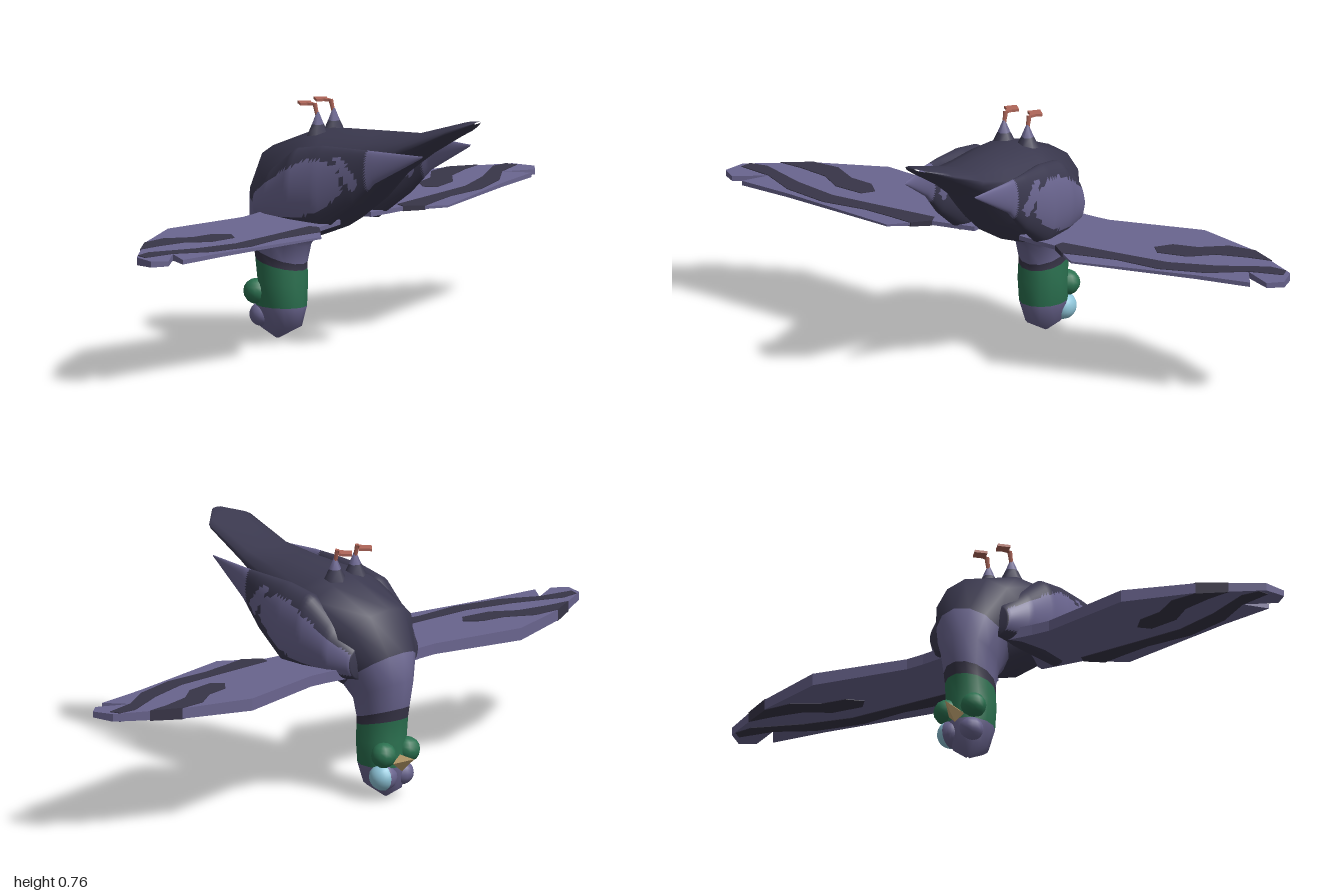
import * as THREE from 'three';

const mat = (name, color) => Object.assign(new THREE.MeshStandardMaterial({ color }), { name });
const dark = mat('dark plumage', 0x3b394f);
const lavender = mat('lavender plumage', 0x6a658f);
const stripe = mat('wing stripe', 0x383548);
const green = mat('green neck', 0x2b7150);
const tan = mat('beak tan', 0xc4a673);
const blue = mat('pale blue eye', 0x8fc6da);
const red = mat('leg red', 0xb0675a);

function mesh(name, geo, material, x = 0, y = 0, z = 0) {
  const m = new THREE.Mesh(geo, material);
  m.name = name;
  m.position.set(x, y, z);
  return m;
}

// Elliptical rings [zA, yA, zB, yB, halfWidth, xCentre], skinned into one smooth surface;
// pick(z, y, ring) gives the material slot of each face.
function loft(rings, n, slots, pick) {
  const pos = [], buckets = Array.from({ length: slots }, () => []);
  for (const [za, ya, zb, yb, w, xc = 0] of rings) {
    for (let j = 0; j < n; j++) {
      const t = (j / n) * Math.PI * 2, c = Math.cos(t) / 2;
      pos.push(xc + w * Math.sin(t), (ya + yb) / 2 + c * (ya - yb), (za + zb) / 2 + c * (za - zb));
    }
  }
  const add = (i, a, b, c) => {
    const mid = k => (pos[a * 3 + k] + pos[b * 3 + k] + pos[c * 3 + k]) / 3;
    buckets[pick(mid(2), mid(1), i)].push(a, b, c);
  };
  for (let i = 0; i < rings.length - 1; i++) {
    for (let j = 0; j < n; j++) {
      const k = (j + 1) % n, a = i * n + j, b = i * n + k;
      add(i, a, b, a + n);
      add(i, b, b + n, a + n);
    }
  }
  const geo = new THREE.BufferGeometry();
  geo.setAttribute('position', new THREE.Float32BufferAttribute(pos, 3));
  geo.setIndex(buckets.flat());
  let start = 0;
  buckets.forEach((b, s) => { geo.addGroup(start, b.length, s); start += b.length; });
  geo.computeVertexNormals();
  return geo;
}

// Insert evenly spaced rings between the given ones
function subdivide(rings, steps) {
  const out = [];
  for (let i = 0; i < rings.length - 1; i++)
    for (let s = 0; s < steps; s++)
      out.push(rings[i].map((v, k) => v + (rings[i + 1][k] - v) * s / steps));
  out.push(rings[rings.length - 1]);
  return out;
}

function inside(poly, x, y) {
  let hit = false;
  for (let i = 0, j = poly.length - 1; i < poly.length; j = i++) {
    const [xi, yi] = poly[i], [xj, yj] = poly[j];
    if ((yi > y) !== (yj > y) && x < (xj - xi) * (y - yi) / (yj - yi) + xi) hit = !hit;
  }
  return hit;
}

// Horizontal plate from an (x, z) outline, half thickness given by a function of z
function plate(points, side, half) {
  const shape = new THREE.Shape(points.map(([x, z]) => new THREE.Vector2(x * side, z)));
  const geo = new THREE.ExtrudeGeometry(shape, { depth: 2, bevelEnabled: false });
  geo.rotateX(Math.PI / 2).translate(0, 1, 0);
  const p = geo.attributes.position;
  for (let i = 0; i < p.count; i++) p.setY(i, p.getY(i) * half(p.getZ(i)));
  geo.computeVertexNormals();
  return geo;
}

// Tail, belly, neck and head: belly point, back point, half width
const BODY = [
  [0.45, 0.765, 0.445, 0.758, 0.02],
  [0.40, 0.758, 0.37, 0.71, 0.09],
  [0.21, 0.70, 0.25, 0.635, 0.1],
  [0.08, 0.695, 0.15, 0.56, 0.12],
  [-0.11, 0.685, 0.06, 0.465, 0.165],
  [-0.17, 0.675, -0.045, 0.385, 0.185],
  [-0.337, 0.605, -0.12, 0.355, 0.165],
  [-0.40, 0.48, -0.185, 0.33, 0.115],
  [-0.41, 0.387, -0.208, 0.30, 0.088],
  [-0.397, 0.30, -0.22, 0.245, 0.077],
  [-0.39, 0.262, -0.22, 0.225, 0.076],
  [-0.38, 0.19, -0.22, 0.18, 0.078],
  [-0.39, 0.11, -0.222, 0.108, 0.074],
  [-0.376, 0.035, -0.236, 0.045, 0.052],
  [-0.325, 0.003, -0.315, 0.003, 0.004],
];

// Folded wing cover: top and bottom edge per station, half thickness, x centre
const COVER = [
  [0.33, 0.661, 0.325, 0.655, 0.002, 0.125],
  [0.16, 0.663, 0.16, 0.56, 0.016, 0.148],
  [0.08, 0.662, 0.08, 0.48, 0.03, 0.15],
  [-0.04, 0.658, -0.04, 0.39, 0.055, 0.145],
  [-0.14, 0.64, -0.14, 0.385, 0.062, 0.142],
  [-0.24, 0.565, -0.24, 0.388, 0.06, 0.125],
  [-0.31, 0.50, -0.31, 0.395, 0.045, 0.1],
  [-0.32, 0.47, -0.32, 0.42, 0.005, 0.09],
];
const PATCH = [[0.04, 0.6], [-0.02, 0.62], [-0.08, 0.615], [-0.17, 0.57], [-0.31, 0.48],
  [-0.31, 0.41], [-0.2, 0.42], [-0.1, 0.43], [0, 0.475], [0.06, 0.53]];
const BAR = [[0.05, 0.635], [0.02, 0.632], [0.055, 0.575], [0.09, 0.53], [0.115, 0.56], [0.085, 0.60]];

// Spread wing outline and its two stripes
const WING = [[0.08, -0.28], [0.20, -0.265], [0.26, -0.262], [0.565, -0.325], [0.79, -0.25],
  [0.98, -0.14], [1, -0.07], [0.957, -0.035], [0.86, -0.09], [0.91, -0.015], [0.73, 0.01],
  [0.33, 0.09], [0.22, 0], [0.08, -0.02]];
const STRIPES = [
  [[0.79, -0.25], [0.7, -0.245], [0.62, -0.19], [0.54, -0.175], [0.5, -0.13], [0.53, -0.095],
    [0.63, -0.11], [0.7, -0.165], [0.8, -0.19], [0.88, -0.2]],
  [[0.96, -0.15], [0.9, -0.155], [0.75, -0.085], [0.6, -0.04], [0.45, -0.035], [0.23, -0.03],
    [0.22, 0], [0.27, 0.045], [0.35, 0.03], [0.45, 0.015], [0.6, 0.02], [0.75, -0.02],
    [0.86, -0.09], [0.97, -0.115]],
];
const wingHalf = z => 0.003 + 0.04 * (0.09 - z);
const FOOT = [[0, -0.035], [0.027, -0.005], [0.01, 0.01], [0, 0.035], [-0.01, 0.01], [-0.027, -0.005]];

function createModel() {
  const bird = new THREE.Group();
  bird.name = 'bird';

  const bodySlot = (z, y, i) => (i < 7 ? 0 : i === 9 ? 2 : i === 10 || i === 11 ? 3 : 1);
  bird.add(mesh('body', loft(BODY, 14, 4, bodySlot), [dark, lavender, stripe, green]));

  const coverSlot = (z, y) => (z > 0.135 || inside(PATCH, z, y) || inside(BAR, z, y) ? 1 : 0);
  for (const side of [1, -1]) {
    const label = side > 0 ? 'left' : 'right';

    // Folded cover against the flank
    const rings = subdivide(COVER, 8).map(r => [...r.slice(0, 5), r[5] * side]);
    bird.add(mesh(label + 'WingCover', loft(rings, 44, 2, coverSlot), [dark, lavender]));

    // Spread wing with painted stripes
    const wing = new THREE.Group();
    wing.name = label + 'Wing';
    wing.position.y = 0.41;
    wing.add(mesh('wingBlade', plate(WING, side, wingHalf), lavender));
    for (const s of STRIPES) wing.add(mesh('wingStripe', plate(s, side, z => wingHalf(z) + 0.002), stripe));
    bird.add(wing);

    // Leg: feathered cone, shank and flat foot
    const leg = new THREE.Group();
    leg.name = label + 'Leg';
    leg.position.set(0.042 * side, 0, -0.135);
    leg.add(mesh('thighBase', new THREE.CylinderGeometry(0.02, 0.037, 0.035, 6), dark, 0, 0.683));
    leg.add(mesh('thigh', new THREE.CylinderGeometry(0.004, 0.02, 0.038, 6), lavender, 0, 0.719));
    const shank = mesh('shank', new THREE.CylinderGeometry(0.008, 0.006, 0.04, 5), red, 0, 0.745, -0.006);
    shank.rotation.x = -0.25;
    leg.add(shank, mesh('foot', plate(FOOT, 1, () => 0.004), red, 0, 0.761, -0.042));
    bird.add(leg);

    // Green bump beside the beak
    bird.add(mesh(label + 'CheekBump', new THREE.SphereGeometry(0.04, 12, 8), green, 0.05 * side, 0.152, -0.365));
  }

  // Eyes: the left one has a pale blue outer face
  const leftEye = new THREE.Group();
  leftEye.name = 'leftEye';
  leftEye.position.set(0.04, 0.079, -0.352);
  leftEye.rotation.z = -Math.PI / 2;
  const split = Math.PI * 0.46;
  leftEye.add(mesh('eyeFace', new THREE.SphereGeometry(0.044, 16, 8, 0, Math.PI * 2, 0, split), blue));
  leftEye.add(mesh('eyeBack', new THREE.SphereGeometry(0.044, 16, 8, 0, Math.PI * 2, split, Math.PI - split), lavender));
  bird.add(leftEye);
  bird.add(mesh('rightEye', new THREE.SphereGeometry(0.038, 14, 10), lavender, -0.035, 0.079, -0.355));

  // Beak
  const beak = mesh('beak', new THREE.ConeGeometry(0.028, 0.07, 4).toNonIndexed(), tan, 0, 0.135, -0.417);
  beak.geometry.computeVertexNormals();
  beak.rotation.x = -Math.PI / 2 + 0.35;
  bird.add(beak);

  return bird;
}

export { createModel };
